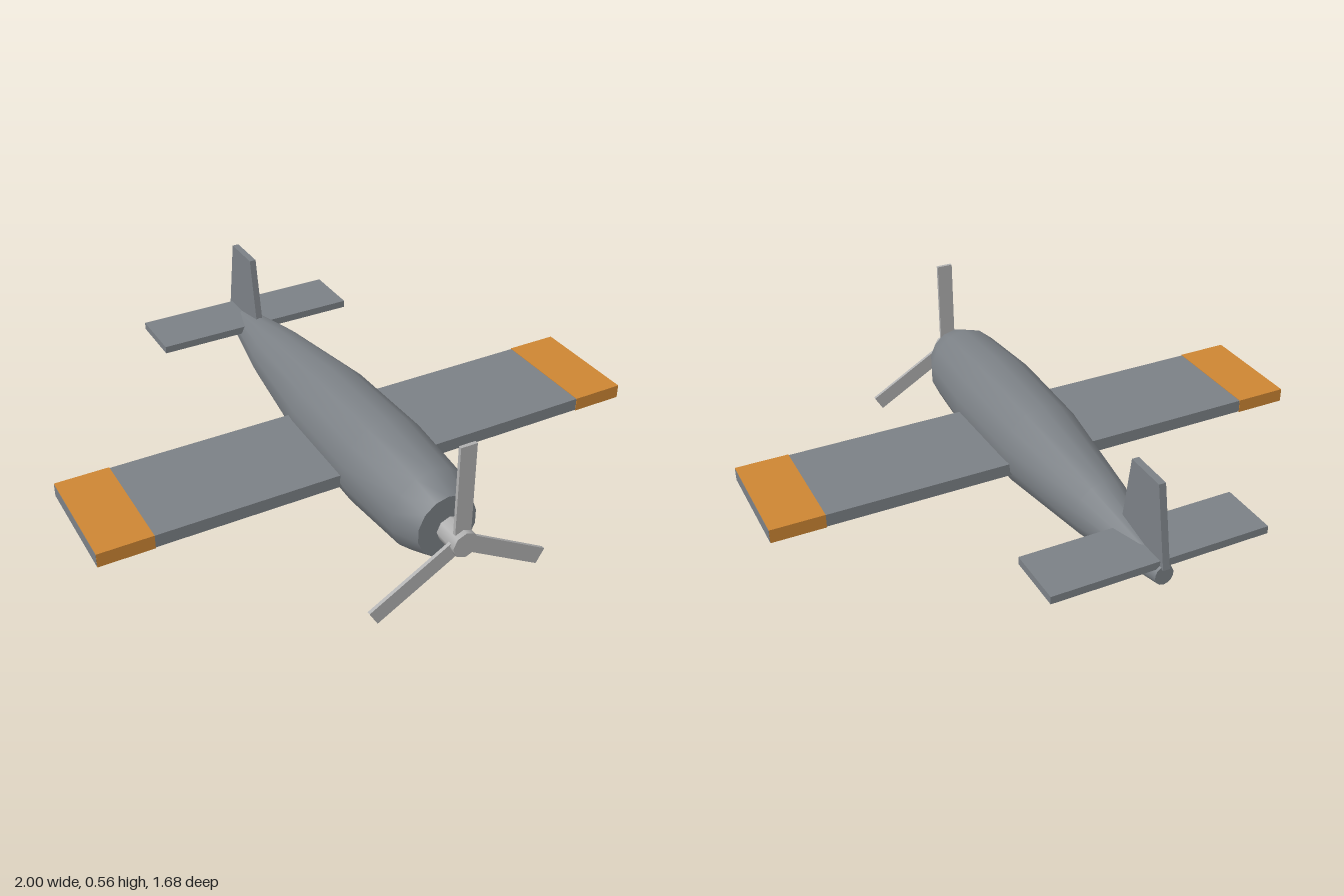
import * as THREE from 'three';

const SIDES = 14, AXIS_Y = 0.205;

export function createModel() {
  const plane = new THREE.Group();
  const mat = (name, color) => {
    const m = new THREE.MeshStandardMaterial({ color });
    m.name = name;
    return m;
  };
  const grey = mat('body grey', 0x7b8085);
  const orange = mat('tip orange', 0xcc8533);
  const silver = mat('propeller silver', 0xb0b0b0);

  const add = (name, geometry, material, x = 0, y = 0, z = 0, parent = plane) => {
    const mesh = new THREE.Mesh(geometry, material);
    mesh.name = name;
    mesh.position.set(x, y, z);
    parent.add(mesh);
    return mesh;
  };

  // Fuselage: [radius, z] from tail to nose, slightly narrower than tall
  const profile = [[0.035, -0.83], [0.111, -0.45], [0.166, -0.02], [0.175, 0.36], [0.155, 0.645], [0.115, 0.74]];
  const hull = new THREE.LatheGeometry(profile.map(([r, z]) => new THREE.Vector2(r, z)), SIDES);
  hull.rotateX(Math.PI / 2).scale(0.935, 1, 1);
  add('fuselage', hull, grey, 0, AXIS_Y, 0);

  // Flat ends of the fuselage
  const cap = (r) => new THREE.CircleGeometry(r, SIDES).rotateZ(-Math.PI / 2).scale(0.935, 1, 1);
  add('noseFace', cap(0.115), grey, 0, AXIS_Y, 0.74);
  add('tailFace', cap(0.035).rotateY(Math.PI), grey, 0, AXIS_Y, -0.83);

  // Wing with orange sleeves around both tips; the end faces stay grey
  add('wing', new THREE.BoxGeometry(2, 0.046, 0.402), grey, 0, 0.175, 0.142);
  for (const side of [-1, 1]) {
    add(side > 0 ? 'leftWingTip' : 'rightWingTip',
      new THREE.BoxGeometry(0.189, 0.05, 0.406), orange, side * 0.9045, 0.175, 0.142);
  }

  // Tailplane
  add('tailplane', new THREE.BoxGeometry(0.765, 0.027, 0.212), grey, 0, 0.243, -0.716);

  // Fin: side outline in (z, y), extruded across x
  const outline = new THREE.Shape([[0.585, 0.232], [0.84, 0.232], [0.79, 0.515], [0.635, 0.515]]
    .map(([z, y]) => new THREE.Vector2(z, y)));
  const fin = new THREE.ExtrudeGeometry(outline, { depth: 0.024, bevelEnabled: false });
  fin.translate(0, 0, -0.012).rotateY(Math.PI / 2);
  add('fin', fin, grey);

  // Propeller: hub and three blades
  const propeller = new THREE.Group();
  propeller.name = 'propeller';
  propeller.position.set(0, AXIS_Y, 0);
  plane.add(propeller);
  const hub = new THREE.CylinderGeometry(0.046, 0.046, 0.094, 8).rotateX(Math.PI / 2);
  add('hub', hub, silver, 0, 0, 0.798, propeller);
  for (let i = 0; i < 3; i++) {
    const blade = new THREE.BoxGeometry(0.058, 0.357, 0.012).translate(0, 0.1785, 0);
    add('blade', blade, silver, 0, 0, 0.82, propeller).rotation.z = i * Math.PI * 2 / 3;
  }
  return plane;
}
